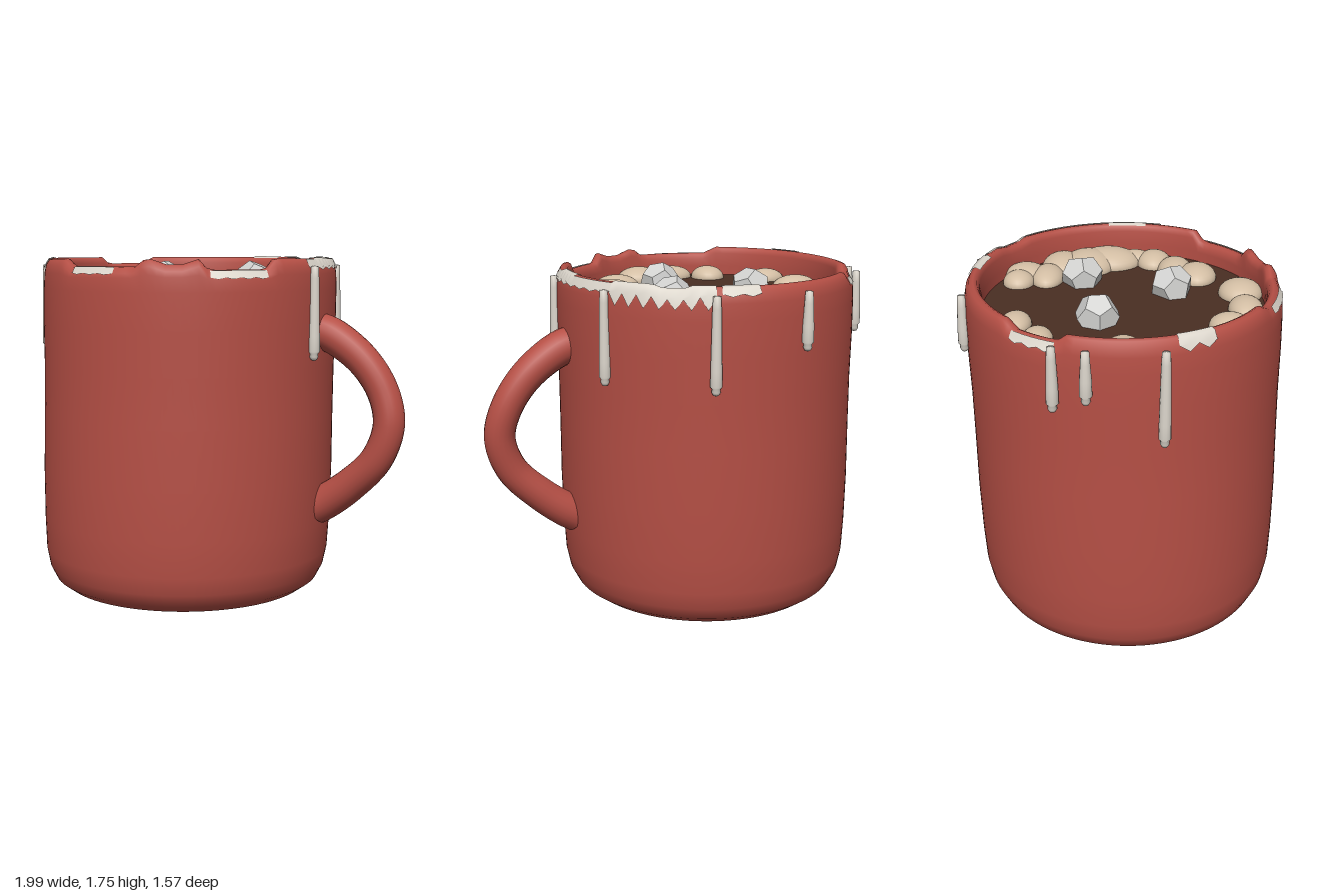
import * as THREE from 'three';
import { mergeVertices } from 'three/addons/utils/BufferGeometryUtils.js';

const V2 = (p) => new THREE.Vector2(p[0], p[1]);
const smooth = THREE.MathUtils.smoothstep;

// Chipped stretches of the rim: start angle, end angle (degrees from +x towards +z), depth
const CHIPS = [[32, 58, 0.05], [63, 75, 0.025], [82, 117, 0.035], [200, 222, 0.035], [300, 312, 0.015]];

// Leans the mug slightly and lowers the chipped parts of the rim
function warp(geometry) {
  const p = geometry.attributes.position;
  for (let i = 0; i < p.count; i++) {
    const x = p.getX(i), y = p.getY(i), z = p.getZ(i);
    const a = (THREE.MathUtils.radToDeg(Math.atan2(z, x)) + 360) % 360;
    let drop = 0;
    for (const [a0, a1, d] of CHIPS) {
      drop += d * smooth(a, a0 - 2, a0 + 2) * (1 - smooth(a, a1 - 2, a1 + 2));
    }
    drop *= smooth(y, 1.64, 1.73);
    p.setXYZ(i, x - 0.21 + 0.012 * y, y - drop, z + 0.02 - 0.014 * y);
  }
  geometry.computeVertexNormals();
  return geometry;
}

// Wall, bottom and inside in one turned shape
function mugBody() {
  const profile = [
    [0, 0.01], [0.4, 0.01], [0.57, 0.016], [0.65, 0.035], [0.705, 0.075], [0.738, 0.14],
    [0.756, 0.23], [0.764, 0.4], [0.768, 0.65], [0.765, 0.95], [0.764, 1.2], [0.768, 1.42],
    [0.767, 1.6], [0.763, 1.68], [0.755, 1.72], [0.738, 1.748], [0.718, 1.754],
    [0.7, 1.745], [0.69, 1.72], [0.686, 1.65], [0.684, 1.5],
  ].map(V2);
  let g = new THREE.LatheGeometry(profile, 120);
  g.deleteAttribute('uv');
  g.deleteAttribute('normal');
  g = mergeVertices(g, 1e-4);
  return warp(g);
}

// Thin icing patch over the rim with a jagged lower edge
function icingPatch(startDeg, endDeg, lowY, tooth, innerRows) {
  const rim = [[0.759, 1.722], [0.742, 1.752], [0.718, 1.759], [0.697, 1.749], [0.685, 1.70]].slice(0, 2 + innerRows);
  const n = Math.max(4, 2 * Math.round((endDeg - startDeg) / 6));
  const pos = [], idx = [];
  for (let i = 0; i <= n; i++) {
    const a = THREE.MathUtils.degToRad(startDeg + (endDeg - startDeg) * i / n);
    const y0 = lowY + (i % 2 ? 0 : tooth);
    const column = [[0.7715 - Math.max(0, y0 - 1.68) * 0.2, y0], ...rim];
    column.forEach(([r, y]) => pos.push(r * Math.cos(a), y, r * Math.sin(a)));
    const m = column.length;
    if (i < n) {
      for (let j = 0; j < m - 1; j++) {
        const k = i * m + j;
        idx.push(k, k + 1, k + m, k + 1, k + m + 1, k + m);
      }
    }
  }
  const g = new THREE.BufferGeometry();
  g.setAttribute('position', new THREE.Float32BufferAttribute(pos, 3));
  g.setIndex(idx);
  return warp(g);
}

// Tube whose radius swells towards both ends
function handleGeometry() {
  const curve = new THREE.CatmullRomCurve3([
    [0.5, 1.4, 0], [0.6, 1.375, 0], [0.77, 1.255, 0], [0.88, 1.1, 0.005], [0.918, 0.94, 0.02],
    [0.86, 0.765, 0.025], [0.72, 0.62, 0.01], [0.6, 0.53, 0], [0.53, 0.49, 0],
  ].map((p) => new THREE.Vector3(...p)));
  const rows = 48, sides = 20;
  const g = new THREE.TubeGeometry(curve, rows, 1, sides, false);
  const p = g.attributes.position, v = new THREE.Vector3();
  for (let i = 0; i <= rows; i++) {
    const t = i / rows, c = curve.getPointAt(t);
    const r = 0.079 + 0.016 * Math.pow(Math.abs(2 * t - 1), 2);
    for (let j = 0; j <= sides; j++) {
      const k = i * (sides + 1) + j;
      v.fromBufferAttribute(p, k).sub(c).multiplyScalar(r).add(c);
      p.setXYZ(k, v.x, v.y, v.z);
    }
  }
  return g;
}

// Hanging drip with a small bead at the tip
function dripGeometry(bottom) {
  const top = 1.72;
  return new THREE.LatheGeometry([
    [0, bottom], [0.014, bottom + 0.005], [0.022, bottom + 0.02], [0.02, bottom + 0.036],
    [0.029, bottom + 0.046], [0.028, bottom + 0.12], [0.022, top - 0.06], [0.019, top - 0.004], [0, top],
  ].map(V2), 14);
}

export function createModel() {
  const model = new THREE.Group();
  const material = (name, color, extra = {}) => {
    const m = new THREE.MeshStandardMaterial({ color, ...extra });
    m.name = name;
    return m;
  };
  const red = material('red glaze', 0xb54f45, { side: THREE.DoubleSide });
  const cocoa = material('dark cocoa', 0x4a2e23);
  const cream = material('cream foam', 0xd3bea4);
  const icing = material('white icing', 0xdcd6cc, { side: THREE.DoubleSide });
  const sugar = material('marshmallow white', 0xd3d3d1, { flatShading: true });

  const add = (name, geometry, mat, x = 0, y = 0, z = 0) => {
    const mesh = new THREE.Mesh(geometry, mat);
    mesh.name = name;
    mesh.position.set(x, y, z);
    model.add(mesh);
    return mesh;
  };

  add('mugBody', mugBody(), red);
  add('handle', handleGeometry(), red);
  add('drink', new THREE.CylinderGeometry(0.688, 0.688, 0.04, 80), cocoa, -0.192, 1.58, 0);

  // Icing left around the rim: start, end, lower edge, tooth height, rows reaching inwards
  [
    [-30, 14, 1.70, 0.012, 0], [-70, -30, 1.65, 0.06, 1], [-86, -72, 1.71, 0.015, 2],
    [34, 56, 1.69, 0.025, 0], [92, 112, 1.71, 0.01, 0], [146, 160, 1.69, 0.03, 1],
    [202, 220, 1.70, 0.02, 0], [-8, 8, 1.71, 0.01, 2],
  ].forEach((p) => add('rimIcing', icingPatch(...p), icing));

  // Drips: x, z, lower end
  [
    [-0.385, -0.76, 1.43], [0.075, -0.73, 1.25], [0.49, -0.365, 1.255], [0.57, 0.155, 1.255],
    [-0.925, -0.295, 1.4], [-0.968, -0.145, 1.46], [-0.96, 0.2, 1.25],
  ].forEach(([x, z, b]) => add('drip', dripGeometry(b), icing, x, 0, z));

  // Foam clumps: x, z, half width, half depth
  const ball = new THREE.SphereGeometry(1, 24, 16);
  [
    [-0.45, -0.5, 0.1, 0.075], [-0.62, -0.385, 0.105, 0.075], [-0.74, -0.23, 0.075, 0.055],
    [-0.73, 0.01, 0.125, 0.09], [-0.7, 0.3, 0.11, 0.08],
    [-0.44, 0.5, 0.09, 0.1], [-0.25, 0.585, 0.12, 0.085], [-0.05, 0.57, 0.12, 0.11],
    [0.06, -0.54, 0.09, 0.08], [0.15, -0.51, 0.1, 0.11], [0.12, -0.4, 0.13, 0.085],
    [0.28, -0.33, 0.14, 0.11], [0.3, -0.2, 0.15, 0.14], [0.35, -0.1, 0.13, 0.17],
    [0.38, 0.04, 0.07, 0.1], [0.35, 0.14, 0.11, 0.09], [0.24, 0.25, 0.13, 0.09], [0.16, 0.36, 0.125, 0.1],
  ].forEach(([x, z, rx, rz]) => {
    add('foam', ball, cream, x, 1.605, z).scale.set(rx, 0.03 + 0.35 * Math.min(rx, rz), rz);
  });

  // Faceted marshmallows
  const lump = new THREE.DodecahedronGeometry(0.108);
  [[-0.4, -0.12, 0.4], [0.08, -0.22, 1.3], [-0.04, 0.23, 2.3]].forEach(([x, z, a]) => {
    add('marshmallow', lump, sugar, x, 1.635, z).rotation.set(a, a * 1.7, 0.3);
  });

  return model;
}
